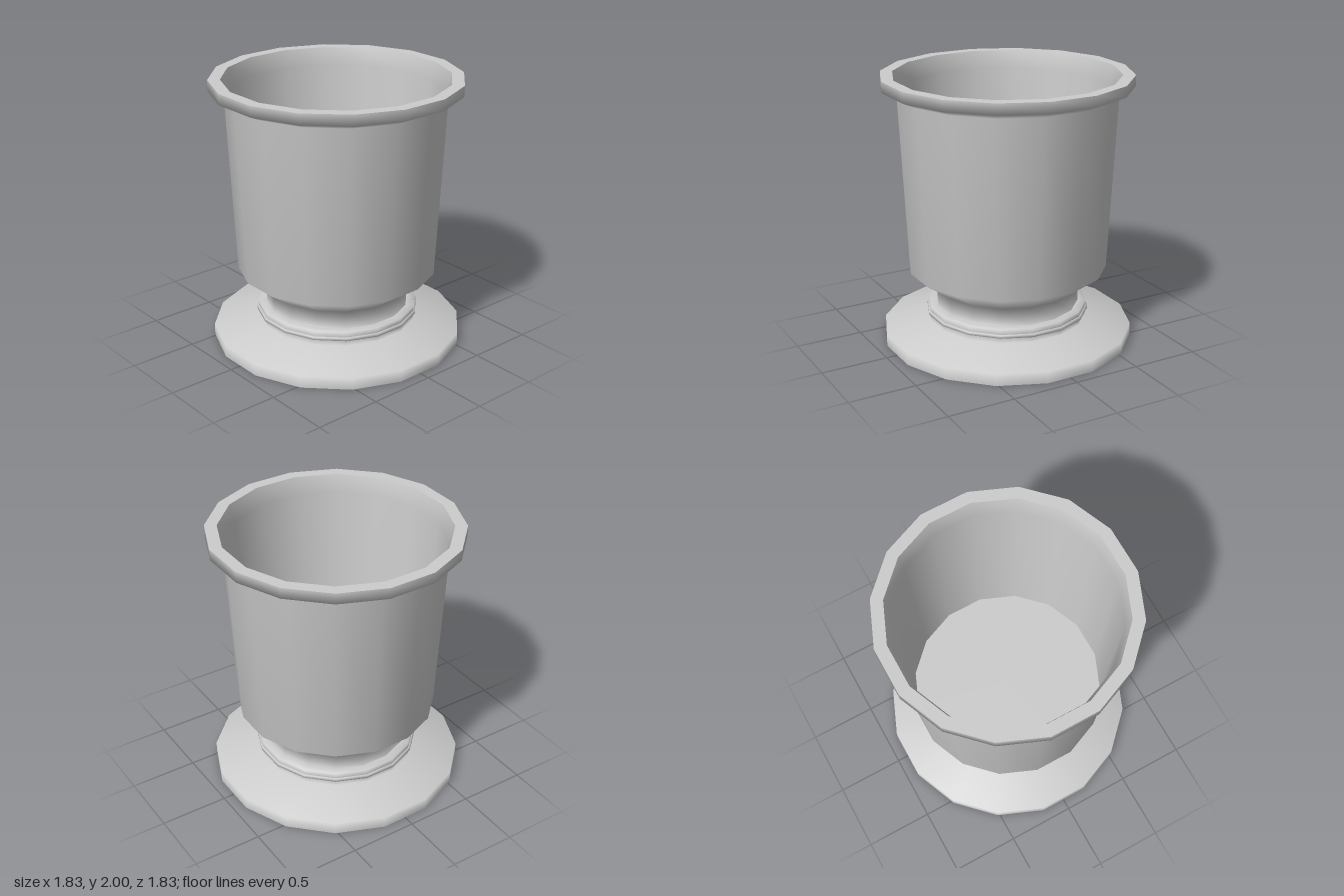
import * as THREE from 'three';

const SIDES = 16;
// Profiles give the distance to the flat of each side; convert to the corner radius.
const CORNER = 1 / Math.cos(Math.PI / SIDES);

export function createModel() {
  const group = new THREE.Group();
  const material = new THREE.MeshStandardMaterial({ color: 0xcccccc });

  // Turned part: outer profiles run upward, inner ones downward.
  function turn(name, profile) {
    const points = profile.map(([r, y]) => new THREE.Vector2(r * CORNER, y));
    const geometry = new THREE.LatheGeometry(points, SIDES, Math.PI / SIDES);
    const mesh = new THREE.Mesh(geometry, material);
    mesh.name = name;
    group.add(mesh);
  }

  // Flat underside of the foot
  turn('footUnderside', [[0, 0], [0.915, 0]]);

  // Wide foot with a sloping top
  turn('foot', [[0.915, 0], [0.915, 0.09], [0.583, 0.163], [0.583, 0.205]]);

  // Thin ring round the collar
  turn('collarRing', [[0.583, 0.205], [0.596, 0.207], [0.596, 0.228], [0.583, 0.23]]);

  // Collar, narrow neck, flared cup wall and rim
  turn('collar', [[0.583, 0.23], [0.583, 0.27], [0.524, 0.27]]);
  turn('cupWall', [
    [0.583, 0.27], [0.524, 0.27], [0.524, 0.405], [0.725, 0.55],
    [0.788, 1.87], [0.897, 1.92], [0.897, 2],
  ]);
  turn('rimTop', [[0.897, 2], [0.81, 2]]);

  // Hollow inside
  turn('cupInside', [[0.81, 2], [0.775, 1.87], [0.7, 0.57]]);
  turn('cupFloor', [[0.7, 0.57], [0, 0.57]]);

  return group;
}
